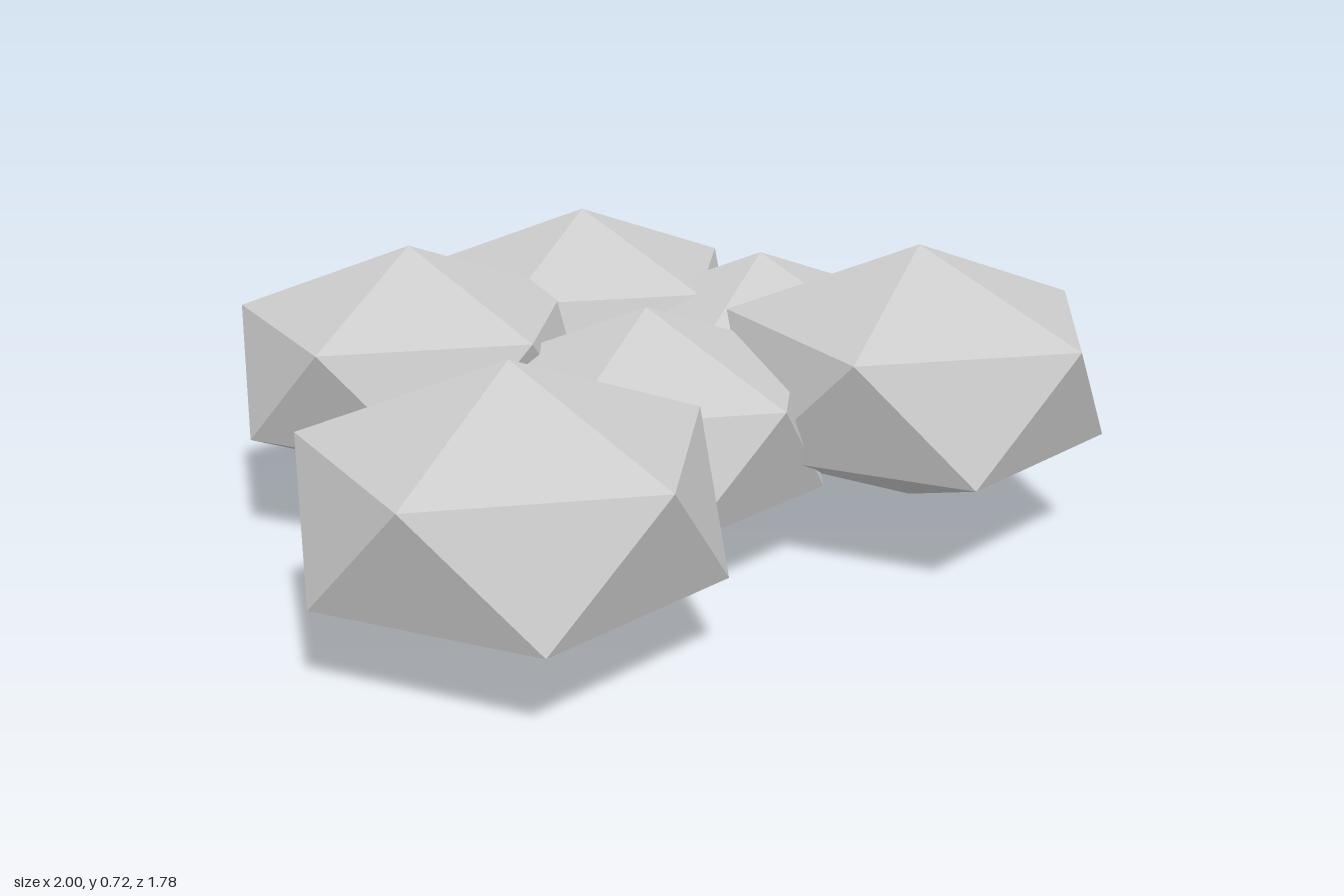
import * as THREE from 'three';

// Cluster of squashed, overlapping low-poly puffs
export function createModel() {
  const group = new THREE.Group();
  group.name = 'puffCluster';
  const material = new THREE.MeshStandardMaterial({ color: 0xcccccc, flatShading: true });

  // Unit icosahedron tipped so one corner points straight up, then flattened
  const golden = (1 + Math.sqrt(5)) / 2;
  const puff = new THREE.IcosahedronGeometry(1, 0);
  puff.rotateZ(-Math.atan(1 / golden));
  puff.scale(1, 0.62, 1);

  // name, centre x, y, z, radius
  const puffs = [
    ['frontRightPuff', -0.55, 0.333, 0.46, 0.503],
    ['frontLeftPuff', 0.56, 0.413, 0.33, 0.492],
    ['middlePuff', -0.04, 0.315, 0.12, 0.459],
    ['middleLeftPuff', 0.43, 0.306, -0.14, 0.492],
    ['backRightPuff', -0.415, 0.4, -0.35, 0.46],
    ['backPuff', 0.135, 0.402, -0.52, 0.443],
  ];
  for (const [name, x, y, z, radius] of puffs) {
    const mesh = new THREE.Mesh(puff, material);
    mesh.name = name;
    mesh.position.set(x, y, z);
    mesh.scale.setScalar(radius);
    group.add(mesh);
  }
  return group;
}
